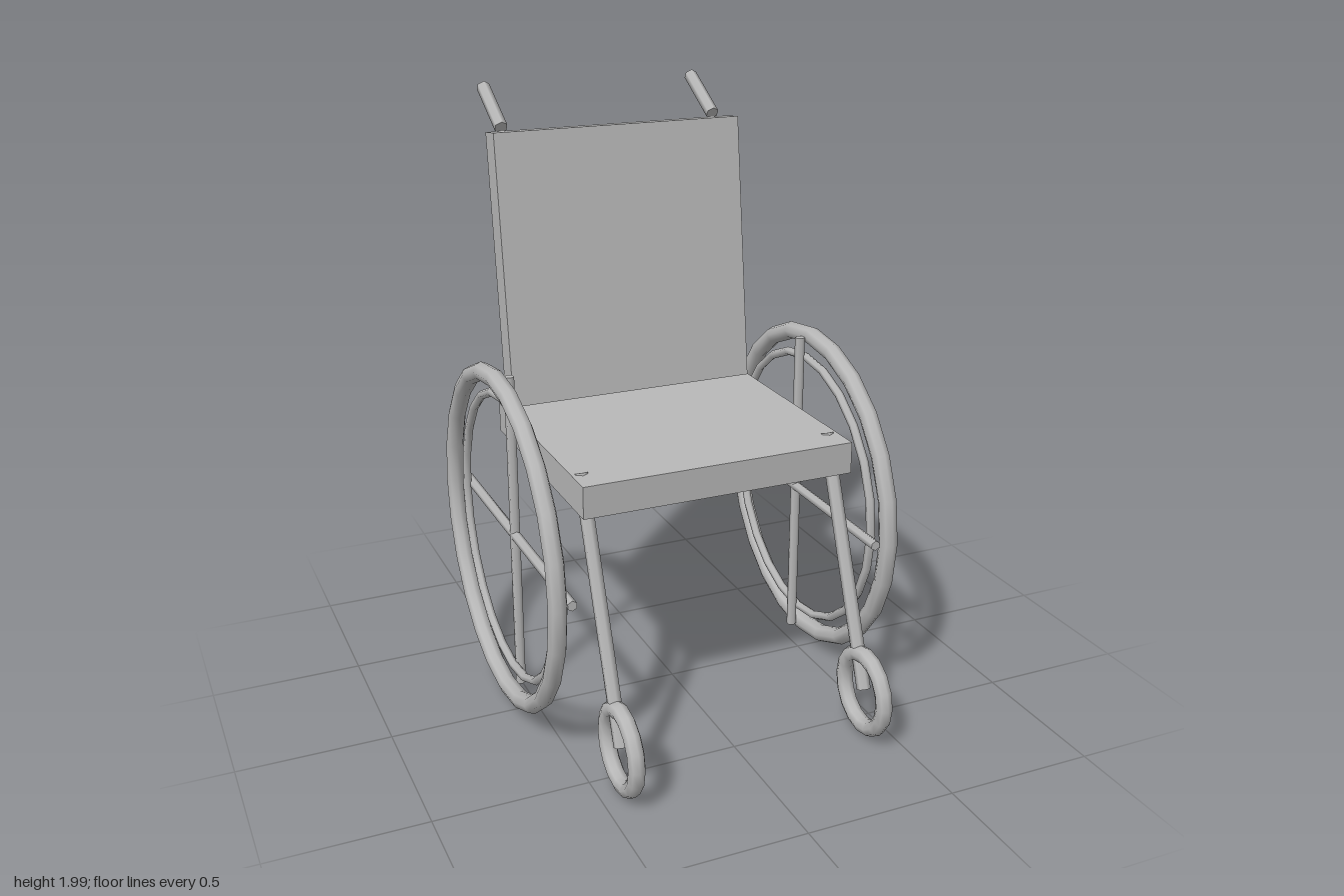
import * as THREE from 'three';

const grey = new THREE.MeshStandardMaterial({ color: 0xb8b8b8 });
grey.name = 'plain grey';

function add(parent, name, geometry, x, y, z) {
  const mesh = new THREE.Mesh(geometry, grey);
  mesh.name = name;
  mesh.position.set(x, y, z);
  parent.add(mesh);
  return mesh;
}

// Six-sided rod centred on a point, tilted about the x axis
function rod(parent, name, radius, length, x, y, z, tilt) {
  const mesh = add(parent, name, new THREE.CylinderGeometry(radius, radius, length, 6), x, y, z);
  mesh.rotation.x = tilt;
  return mesh;
}

// Upright ring that rolls along z
function ring(parent, name, radius, tube, sides, segments, x, y, z) {
  const mesh = add(parent, name, new THREE.TorusGeometry(radius, tube, sides, segments), x, y, z);
  mesh.rotation.y = Math.PI / 2;
  return mesh;
}

export function createModel() {
  const chair = new THREE.Group();
  chair.name = 'wheelchair';

  // Seat and reclined back
  add(chair, 'seat', new THREE.BoxGeometry(0.917, 0.105, 0.825), 0, 0.897, -0.025);
  const back = add(chair, 'backrest', new THREE.BoxGeometry(0.88, 0.915, 0.088), 0, 1.41, -0.427);
  back.rotation.x = -0.12;

  for (const [side, s] of [['left', 1], ['right', -1]]) {
    // Large wheel with push rim and crossed spokes
    const wheel = new THREE.Group();
    wheel.name = side + 'Wheel';
    wheel.position.set(0, 0.602, -0.098);
    chair.add(wheel);
    ring(wheel, 'tyre', 0.553, 0.031, 8, 24, s * 0.571, 0, 0);
    ring(wheel, 'pushRim', 0.481, 0.015, 6, 24, s * 0.548, 0, 0);
    rod(wheel, 'uprightSpoke', 0.017, 1.105, s * 0.524, 0, 0, 0);
    rod(wheel, 'levelSpoke', 0.017, 1.105, s * 0.524, 0, 0, Math.PI / 2);

    // Front leg and small caster
    rod(chair, side + 'FrontLeg', 0.023, 0.842, s * 0.425, 0.557, 0.431, -0.37);
    ring(chair, side + 'Caster', 0.125, 0.028, 8, 16, s * 0.425, 0.16, 0.585);

    // Push handle
    rod(chair, side + 'Handle', 0.023, 0.218, s * 0.385, 1.925, -0.623, -1.04);
  }
  return chair;
}
